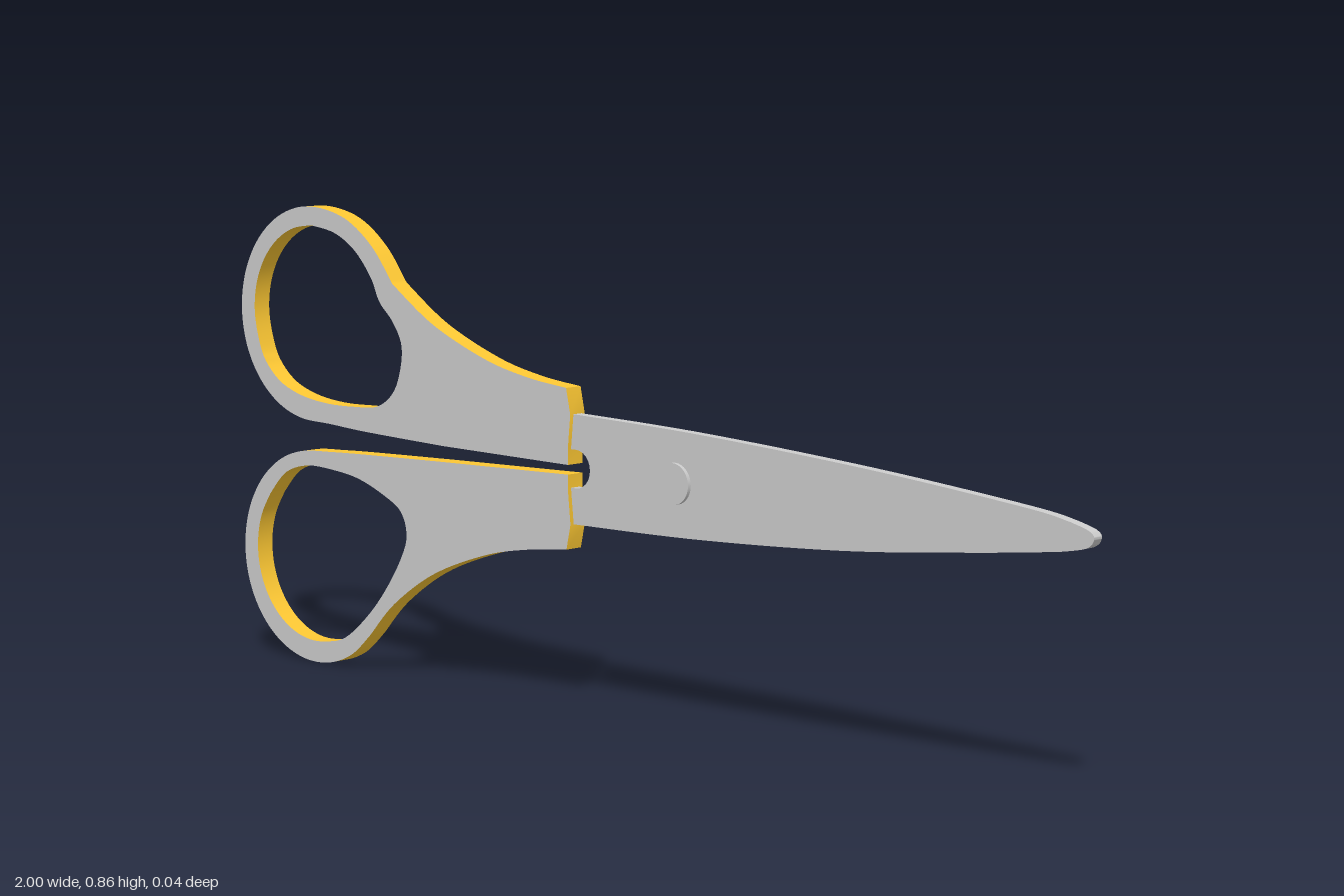
import * as THREE from 'three';
import { toCreasedNormals } from 'three/addons/utils/BufferGeometryUtils.js';

const grey = new THREE.MeshStandardMaterial({ color: 0xcccccc });
const gold = new THREE.MeshStandardMaterial({ color: 0xfcc733 });
const MID = 0.431; // height of the closed cutting line

const vecs = (pts) => pts.map(([x, y]) => new THREE.Vector2(x, y));

// Points along an arc, angles in degrees
function arc(cx, cy, r, from, to, steps) {
  return Array.from({ length: steps + 1 }, (_, i) => {
    const a = THREE.MathUtils.degToRad(from + (to - from) * i / steps);
    return [cx + r * Math.cos(a), cy + r * Math.sin(a)];
  });
}

// Flat plate centred on z = 0, with smooth walls and sharp rims
function plate(name, shape, depth, materials) {
  const geo = new THREE.ExtrudeGeometry(shape, { depth, bevelEnabled: false, curveSegments: 6 });
  geo.translate(0, 0, -depth / 2);
  const mesh = new THREE.Mesh(toCreasedNormals(geo, 0.6), materials);
  mesh.name = name;
  return mesh;
}

// Handle: straight inner edge, round bow, curved shank, stepped front end, finger hole
function handle(name, bow, shank, end, hole) {
  const shape = new THREE.Shape();
  shape.moveTo(...end[end.length - 1]);
  shape.lineTo(...bow[0]);
  shape.splineThru(vecs(bow.slice(1)));
  shape.splineThru(vecs(shank));
  end.forEach((p) => shape.lineTo(...p));
  const loop = new THREE.SplineCurve(vecs([...hole, hole[0]]));
  shape.holes.push(new THREE.Path(loop.getPoints(96)));
  return plate(name, shape, 0.036, [grey, gold]);
}

export function createModel() {
  const group = new THREE.Group();
  group.name = 'scissors';

  group.add(handle('upperHandle',
    [[-0.45, 0.442], [-0.65, 0.449], [-0.75, 0.455], ...arc(-0.8, 0.657, 0.2, 260, 80, 9),
      [-0.695, 0.834], [-0.63, 0.788], [-0.58, 0.727]],
    [[-0.473, 0.66], [-0.34, 0.608], [-0.233, 0.584], [-0.136, 0.573]],
    [[-0.126, 0.527], [-0.132, 0.467], [-0.132, 0.438]],
    [...arc(-0.8, 0.659, 0.163, 90, 200, 6), [-0.933, 0.56], [-0.89, 0.523], [-0.83, 0.502],
      [-0.76, 0.493], [-0.69, 0.493], [-0.623, 0.499], [-0.58, 0.528], [-0.56, 0.573], [-0.557, 0.618],
      [-0.58, 0.658], [-0.615, 0.692], [-0.637, 0.734], [-0.68, 0.781], [-0.735, 0.811]]));

  group.add(handle('lowerHandle',
    [[-0.45, 0.413], [-0.65, 0.407], [-0.75, 0.403], ...arc(-0.8, 0.2, 0.2, 100, 320, 11)],
    [[-0.58, 0.138], [-0.473, 0.206], [-0.34, 0.255], [-0.233, 0.277], [-0.136, 0.288]],
    [[-0.126, 0.333], [-0.132, 0.393], [-0.132, 0.421]],
    [...arc(-0.8, 0.203, 0.163, 140, 280, 8), [-0.715, 0.058], [-0.65, 0.11], [-0.6, 0.167],
      [-0.562, 0.225], [-0.547, 0.268], [-0.562, 0.31], [-0.605, 0.335], [-0.676, 0.36],
      [-0.75, 0.37], [-0.82, 0.371], [-0.88, 0.352]]));

  // Closed blades with a rounded notch between the handle ends
  const blade = new THREE.Shape();
  blade.moveTo(-0.16, 0.332);
  blade.lineTo(-0.126, 0.333);
  blade.splineThru(vecs([[0.168, 0.338], [0.489, 0.355], [0.757, 0.382], [0.933, 0.403]]));
  blade.splineThru(vecs([[0.985, 0.414], [1, 0.43], [0.99, 0.442], [0.955, 0.452]]));
  blade.splineThru(vecs([[0.864, 0.466], [0.543, 0.495], [0.168, 0.518], [-0.126, 0.527]]));
  blade.lineTo(-0.16, 0.527);
  blade.lineTo(-0.16, MID + 0.034);
  blade.lineTo(-0.12, MID + 0.034);
  blade.absarc(-0.12, MID, 0.034, Math.PI / 2, -Math.PI / 2, true);
  blade.lineTo(-0.16, MID - 0.034);
  group.add(plate('blades', blade, 0.02, grey));

  // Pivot rivet standing slightly proud of both sides
  const rivet = new THREE.Mesh(new THREE.CylinderGeometry(0.036, 0.036, 0.034, 32), grey);
  rivet.name = 'pivotRivet';
  rivet.rotation.x = Math.PI / 2;
  rivet.position.set(0.117, MID - 0.002, 0);
  group.add(rivet);

  return group;
}
